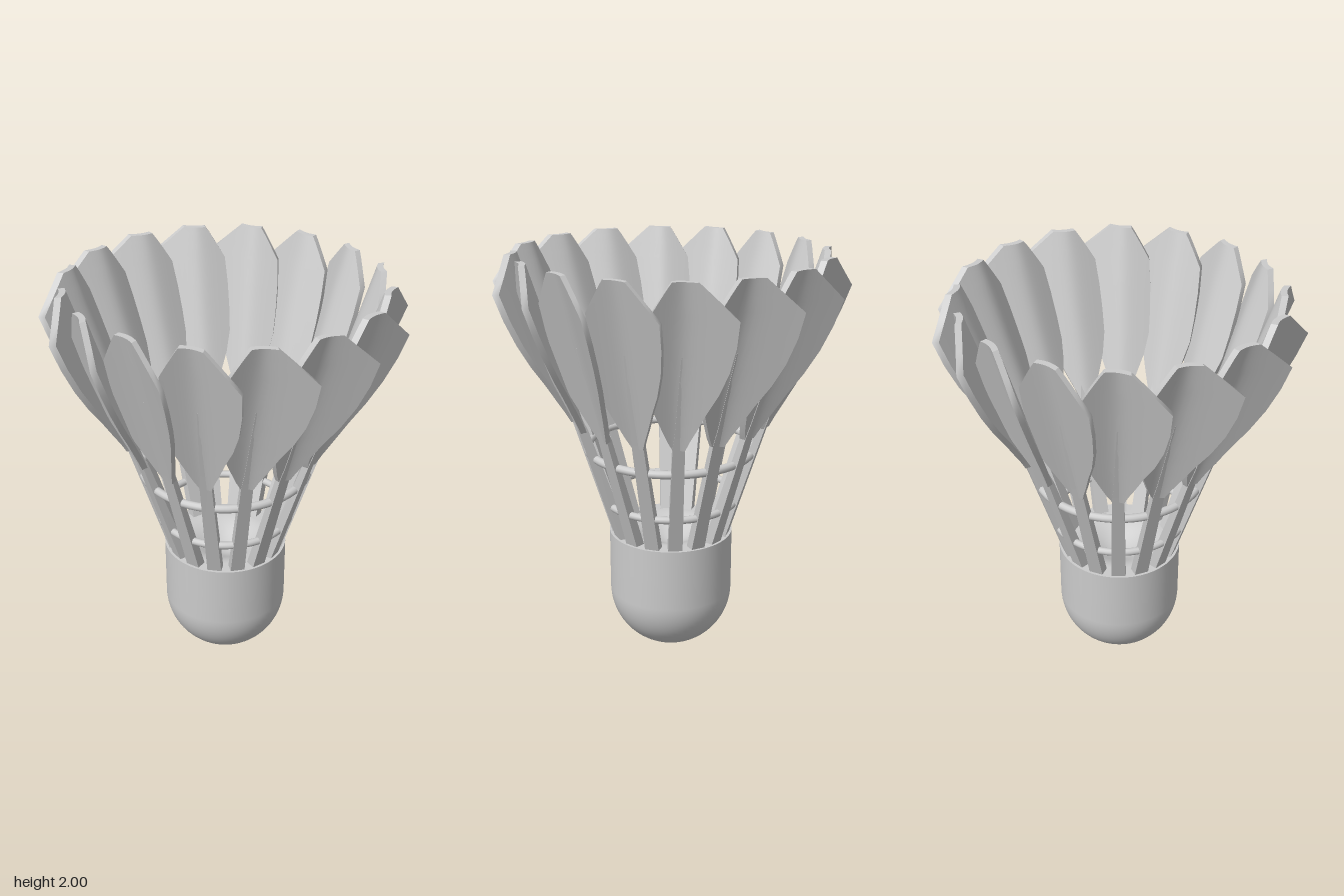
import * as THREE from 'three';

const FEATHERS = 16;
const material = new THREE.MeshStandardMaterial({ color: 0xcccccc });

// Distance of the feather shaft from the axis at height y
const shaftRadius = (y) => 0.067 + 0.327 * y;

function addMesh(parent, name, geometry) {
  const mesh = new THREE.Mesh(geometry, material);
  mesh.name = name;
  parent.add(mesh);
  return mesh;
}

// Moves every vertex of a geometry by a rule
function reshape(geometry, rule) {
  const pos = geometry.attributes.position;
  const v = new THREE.Vector3();
  for (let i = 0; i < pos.count; i++) {
    rule(v.fromBufferAttribute(pos, i));
    pos.setXYZ(i, v.x, v.y, v.z);
  }
  geometry.computeVertexNormals();
  return geometry;
}

// Vane outline: height, left edge, right edge
const outline = [
  [1.19, -0.027, 0.027],
  [1.24, -0.053, 0.045],
  [1.31, -0.082, 0.075],
  [1.4, -0.118, 0.11],
  [1.5, -0.142, 0.155],
  [1.61, -0.147, 0.19],
  [1.73, -0.147, 0.211],
  [1.85, -0.14, 0.217],
  [1.92, -0.1, 0.142],
  [1.97, -0.07, 0.088],
  [2.0, -0.05, 0.055],
];

// Blade folded softly along the shaft, its right half swung well outward
function vaneGeometry() {
  const rows = outline.length - 1;
  return reshape(new THREE.BoxGeometry(1, 1, 1, 14, rows, 1), (v) => {
    const [y, left, right] = outline[Math.round((v.y + 0.5) * rows)];
    const x = THREE.MathUtils.lerp(left, right, v.x + 0.5);
    const bend = 0.2 * x + 0.42 * (Math.hypot(x, 0.04) - 0.04);
    v.set(x, y, shaftRadius(y) + bend + v.z * 0.03);
  });
}

// Tapered shaft, ending as a fine rib on the outside of the vane
function shaftGeometry() {
  // height, width, inner and outer offset
  const levels = [
    [0.57, 0.07, -0.03, 0.024],
    [1.2, 0.056, -0.016, 0.016],
    [1.28, 0.04, -0.008, 0.016],
    [1.66, 0.006, -0.008, 0.016],
  ];
  return reshape(new THREE.BoxGeometry(1, 1, 1, 1, 3, 1), (v) => {
    const [y, width, inner, outer] = levels[Math.round((v.y + 0.5) * 3)];
    v.set(v.x * width, y, shaftRadius(y) + (v.z > 0 ? outer : inner));
  });
}

export function createModel() {
  const model = new THREE.Group();
  model.name = 'shuttlecock';

  // Cork: rounded nose with a straight wall, and a dished top
  const cork = new THREE.Group();
  cork.name = 'cork';
  model.add(cork);
  const R = 0.305, top = 0.615;
  const wall = [];
  for (let i = 0; i <= 20; i++) {
    const a = (i / 20) * Math.PI / 2;
    wall.push(new THREE.Vector2(R * Math.sin(a), R * (1 - Math.cos(a))));
  }
  wall.push(new THREE.Vector2(R, 0.46), new THREE.Vector2(R, top));
  addMesh(cork, 'corkBody', new THREE.LatheGeometry(wall, 64));

  const dish = [new THREE.Vector2(R, top)];
  for (let i = 0; i <= 14; i++) {
    const t = 1 - i / 14;
    dish.push(new THREE.Vector2(0.23 * t, top - 0.04 * (1 + Math.cos(Math.PI * t))));
  }
  addMesh(cork, 'corkTop', new THREE.LatheGeometry(dish, 64));

  // Binding rings threaded through the shafts
  for (const [name, y, radius, tube] of [
    ['lowerRing', 0.79, 0.325, 0.018],
    ['upperRing', 1.05, 0.405, 0.02],
  ]) {
    const ring = addMesh(model, name, new THREE.TorusGeometry(radius, tube, 12, 72));
    ring.rotation.x = Math.PI / 2;
    ring.position.y = y;
  }

  // Skirt of overlapping feathers
  const vane = vaneGeometry();
  const shaft = shaftGeometry();
  for (let i = 0; i < FEATHERS; i++) {
    const feather = new THREE.Group();
    feather.name = 'feather';
    feather.rotation.y = (i / FEATHERS) * Math.PI * 2;
    addMesh(feather, 'shaft', shaft);
    addMesh(feather, 'vane', vane);
    model.add(feather);
  }
  return model;
}
